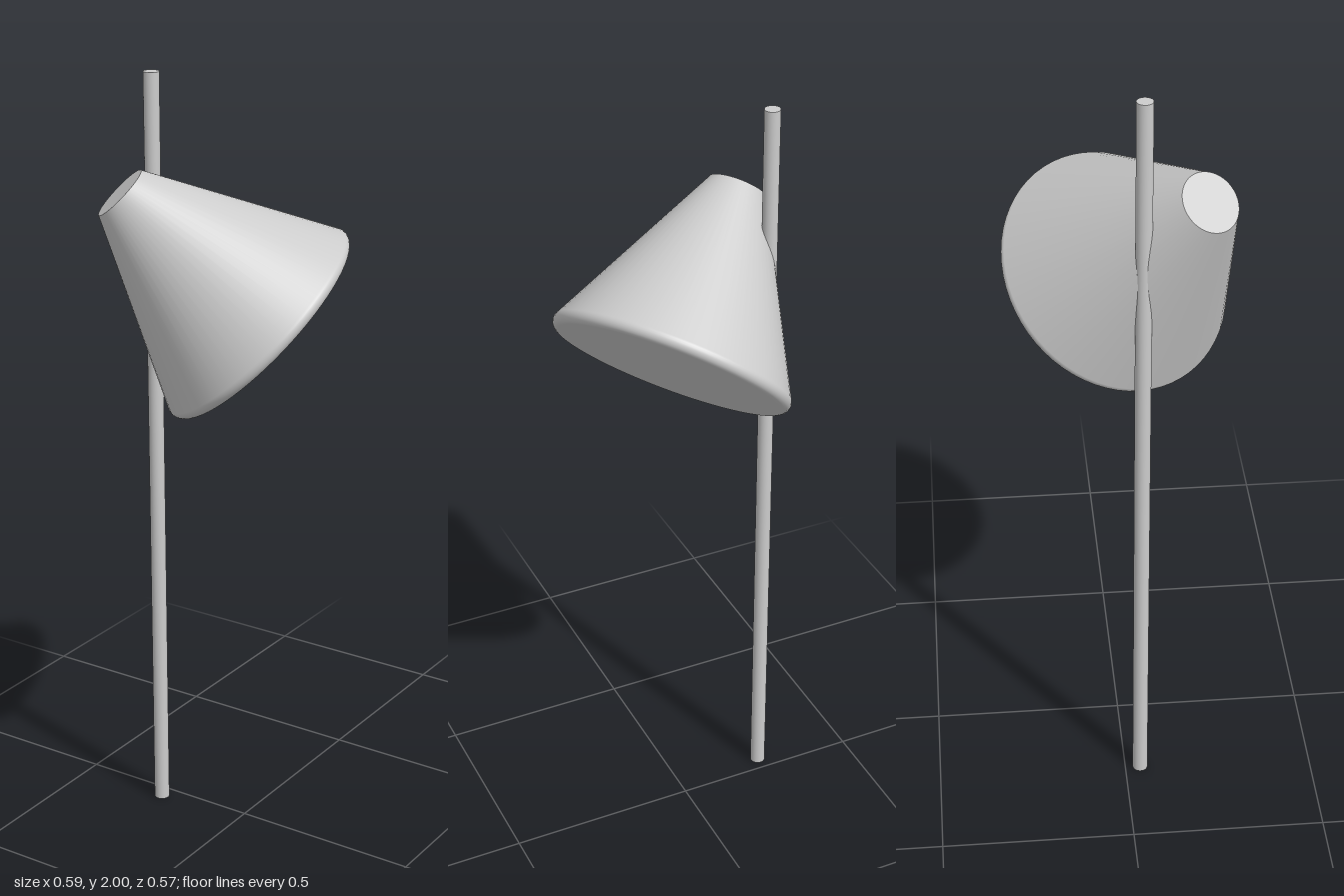
import * as THREE from 'three';

export function createModel() {
  const model = new THREE.Group();
  const material = new THREE.MeshStandardMaterial({ color: 0xcccccc });
  const add = (parent, name, geometry) => {
    const mesh = new THREE.Mesh(geometry, material);
    mesh.name = name;
    parent.add(mesh);
    return mesh;
  };

  // Upright pole
  add(model, 'pole', new THREE.CylinderGeometry(0.02, 0.02, 2, 32)).position.set(-0.245, 1, 0.04);

  // Tilted lamp head, its local y running from the wide end to the narrow end
  const head = new THREE.Group();
  head.name = 'lampHead';
  head.position.set(0.037, 1.4, 0);
  head.quaternion.setFromUnitVectors(
    new THREE.Vector3(0, 1, 0),
    new THREE.Vector3(-0.577, 0.708, 0.413).normalize()
  );
  model.add(head);

  // Conical shade: closed wide face, rounded rim, straight side
  const capRadius = 0.075, length = 0.47, rimCentre = 0.29, rim = 0.02;
  const slope = Math.atan2(rimCentre + rim - capRadius, length);
  const profile = [new THREE.Vector2(0, -rim)];
  for (let i = 0; i <= 8; i++) {
    const a = THREE.MathUtils.lerp(-Math.PI / 2, slope, i / 8);
    profile.push(new THREE.Vector2(rimCentre + rim * Math.cos(a), rim * Math.sin(a)));
  }
  profile.push(new THREE.Vector2(capRadius, length));
  add(head, 'shade', new THREE.LatheGeometry(profile, 64));

  // Flat cap on the narrow end
  const cap = new THREE.CircleGeometry(capRadius, 64).rotateX(-Math.PI / 2);
  add(head, 'shadeCap', cap).position.y = length;

  return model;
}
